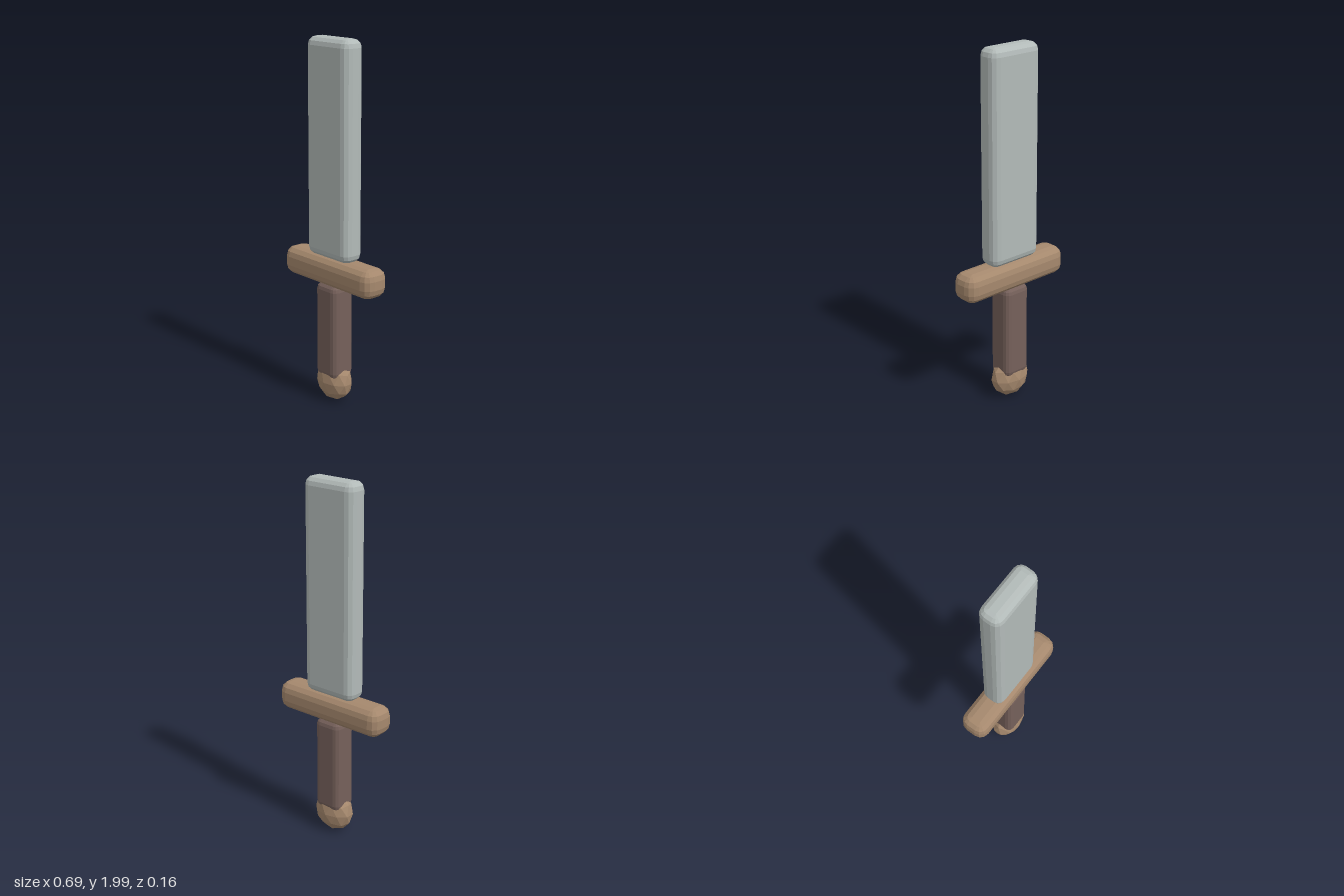
import * as THREE from 'three';
import { ConvexGeometry } from 'three/addons/geometries/ConvexGeometry.js';

const material = (color) => new THREE.MeshStandardMaterial({ color, flatShading: true });

// Box with three-step rounded edges: the hull of an eighth of a sphere at each corner
function bevelledBox(hx, hy, hz, r, steps = 3) {
  const points = [];
  for (const sx of [-1, 1]) for (const sy of [-1, 1]) for (const sz of [-1, 1]) {
    for (let i = 0; i <= steps; i++) {
      const lat = (i / steps) * Math.PI / 2;
      const ring = i === steps ? 0 : steps;
      for (let j = 0; j <= ring; j++) {
        const lon = (j / steps) * Math.PI / 2;
        points.push(new THREE.Vector3(
          sx * (hx - r + r * Math.cos(lat) * Math.cos(lon)),
          sy * (hy - r + r * Math.sin(lat)),
          sz * (hz - r + r * Math.cos(lat) * Math.sin(lon))
        ));
      }
    }
  }
  return new ConvexGeometry(points);
}

export function createModel() {
  const sword = new THREE.Group();
  sword.name = 'sword';
  const wood = material(0xa5886d);

  const add = (name, geometry, mat, y) => {
    const mesh = new THREE.Mesh(geometry, mat);
    mesh.name = name;
    mesh.position.y = y;
    sword.add(mesh);
  };

  // Broad blunt blade, crossguard and grip
  add('blade', bevelledBox(0.163, 0.585, 0.065, 0.045), material(0xb2bab8), 1.415);
  add('crossguard', bevelledBox(0.344, 0.079, 0.081, 0.055), wood, 0.757);
  add('grip', bevelledBox(0.082, 0.27, 0.072, 0.035), material(0x75605a), 0.42);

  // Faceted pommel, one vertex pointing straight down, flattened front to back
  const pommel = new THREE.IcosahedronGeometry(1, 1);
  pommel.rotateZ(-Math.atan(2 / (1 + Math.sqrt(5))));
  pommel.scale(0.12, 0.115, 0.081);
  add('pommel', pommel, wood, 0.123);

  return sword;
}
